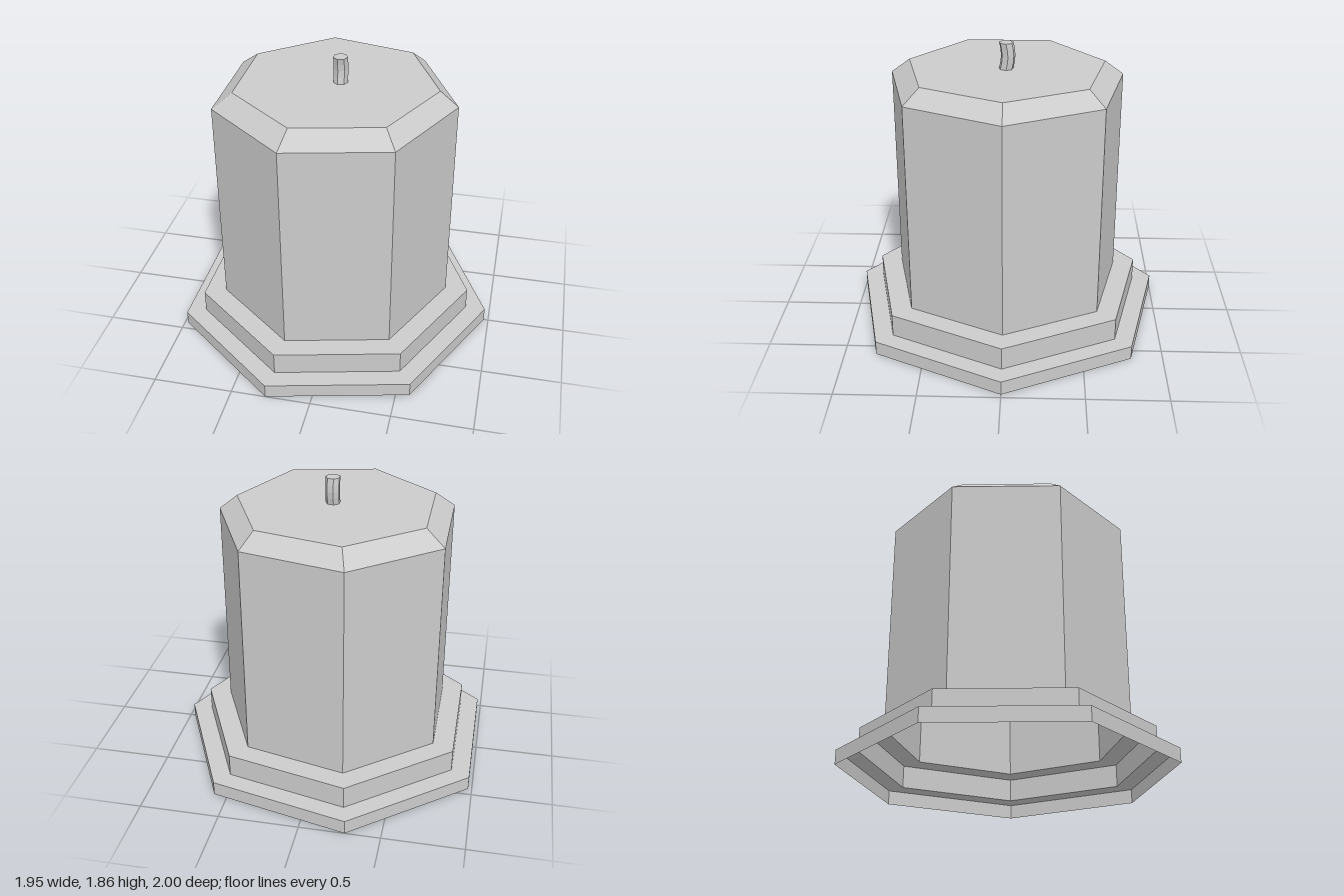
import * as THREE from 'three';

const SIDES = 7;

export function createModel() {
  const model = new THREE.Group();
  const material = new THREE.MeshStandardMaterial({
    color: 0xcccccc, flatShading: true, side: THREE.DoubleSide,
  });

  const add = (name, geometry, x) => {
    geometry.computeVertexNormals();
    const mesh = new THREE.Mesh(geometry, material);
    mesh.name = name;
    mesh.position.x = x;
    model.add(mesh);
  };

  // Seven-sided shell, open below: stepped base, body, bevelled closed top
  const profile = [
    [1.025, 0], [1.025, 0.09], [0.897, 0.09], [0.897, 0.235],
    [0.752, 0.235], [0.752, 1.6], [0.63, 1.695], [0, 1.695],
  ].map(([r, y]) => new THREE.Vector2(r, y));
  const shell = new THREE.LatheGeometry(profile, SIDES).rotateY(Math.PI / 2);
  // The top face sits slightly off the body's axis
  const p = shell.attributes.position;
  for (let i = 0; i < p.count; i++) {
    if (p.getY(i) > 1.65) p.setX(i, p.getX(i) + 0.007);
  }
  add('steppedBody', shell, -0.054);

  // Short stem, bowed towards the back at mid height
  const height = 0.165;
  const stem = new THREE.CylinderGeometry(0.045, 0.045, height, SIDES, 4)
    .rotateY(Math.PI / 2);
  const s = stem.attributes.position;
  for (let i = 0; i < s.count; i++) {
    const t = s.getY(i) / height + 0.5;
    s.setZ(i, s.getZ(i) - 0.012 * Math.sin(Math.PI * t));
  }
  stem.translate(0, 1.695 + height / 2, 0);
  add('stem', stem, -0.019);

  return model;
}
